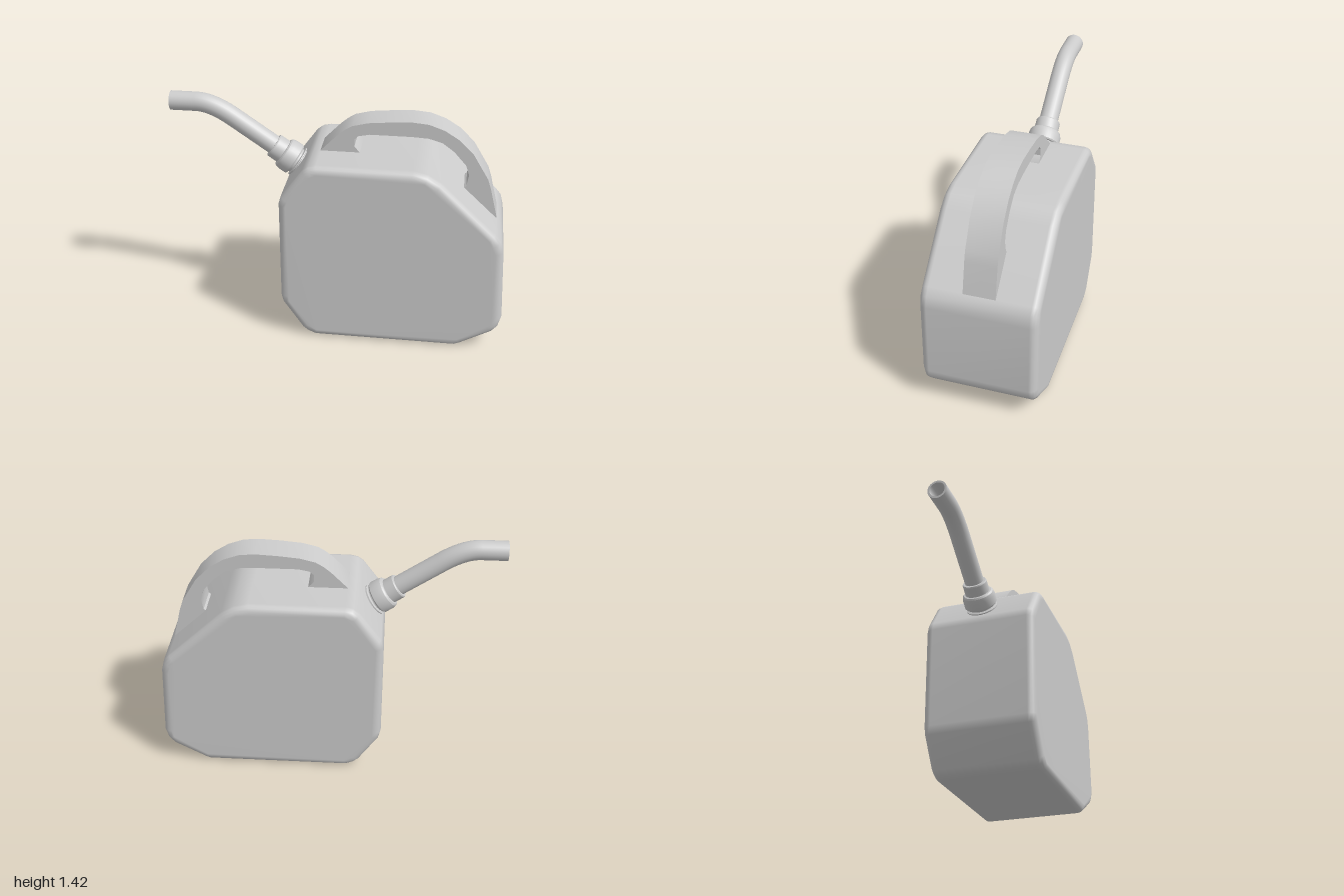
import * as THREE from 'three';
import { mergeVertices, toCreasedNormals } from 'three/addons/utils/BufferGeometryUtils.js';

const material = new THREE.MeshStandardMaterial({ color: 0xcccccc });
const openMaterial = new THREE.MeshStandardMaterial({ color: 0xcccccc, side: THREE.DoubleSide });

const toShape = (points) => new THREE.Shape(points.map(([x, y]) => new THREE.Vector2(x, y)));

function addMesh(parent, name, geometry, mat = material) {
  const mesh = new THREE.Mesh(geometry, mat);
  mesh.name = name;
  parent.add(mesh);
  return mesh;
}

// Can body: side outline extruded across the width with rounded rims
function bodyGeometry() {
  const outline = [
    [-0.11, 0], [0.73, 0], [0.76, 0.012], [0.945, 0.115], [0.98, 0.155], [0.998, 0.22],
    [0.977, 0.66], [0.96, 0.725], [0.925, 0.768], [0.605, 1.07], [0.53, 1.115], [0.445, 1.135],
    [-0.10, 1.135], [-0.145, 1.125], [-0.18, 1.10], [-0.305, 0.93], [-0.32, 0.88],
    [-0.32, 0.27], [-0.308, 0.22], [-0.19, 0.045], [-0.16, 0.02],
  ];
  const halfWidth = 0.335, rim = 0.045;
  const geometry = new THREE.ExtrudeGeometry(toShape(outline), {
    depth: 2 * (halfWidth - rim), bevelThickness: rim, bevelSize: rim, bevelOffset: -rim, bevelSegments: 4,
  });
  geometry.translate(0, 0, -(halfWidth - rim));
  // Weld so the rims shade smoothly into the flat sides
  geometry.deleteAttribute('normal');
  geometry.deleteAttribute('uv');
  const welded = mergeVertices(geometry, 1e-4);
  welded.computeVertexNormals();
  return welded;
}

// Handle: flat arch whose feet sink slightly into the body
function handleGeometry() {
  const outer = [
    [-0.12, 1.10], [-0.105, 1.135], [-0.007, 1.235], [0.035, 1.27], [0.08, 1.297], [0.17, 1.32],
    [0.30, 1.332], [0.425, 1.338], [0.515, 1.33], [0.605, 1.298], [0.69, 1.245], [0.775, 1.16],
    [0.865, 1.01], [0.885, 0.95], [0.93, 0.77], [0.90, 0.75],
  ];
  const inner = [
    [0.70, 0.93], [0.743, 0.96], [0.755, 1.03], [0.735, 1.09], [0.665, 1.17], [0.595, 1.222],
    [0.515, 1.245], [0.42, 1.25], [0.18, 1.25], [0.115, 1.237], [0.092, 1.215], [0.092, 1.17],
    [0.125, 1.135], [0.14, 1.10],
  ];
  const width = 0.184;
  const geometry = new THREE.ExtrudeGeometry(toShape([...outer, ...inner]), { depth: width, bevelEnabled: false });
  geometry.translate(0, 0, -width / 2);
  return toCreasedNormals(geometry, 0.6);
}

const lathe = (points) => toCreasedNormals(
  new THREE.LatheGeometry(points.map(([r, y]) => new THREE.Vector2(r, y)), 32), 0.5);

export function createModel() {
  const model = new THREE.Group();
  model.name = 'jerryCan';
  addMesh(model, 'body', bodyGeometry());
  addMesh(model, 'handle', handleGeometry());

  // Neck and fittings share an axis square to the sloping shoulder
  const axis = new THREE.Vector3(-0.82, 0.57, 0).normalize();
  const neck = new THREE.Group();
  neck.name = 'neck';
  neck.position.set(-0.245, 1.005, 0);
  neck.quaternion.setFromUnitVectors(new THREE.Vector3(0, 1, 0), axis);
  model.add(neck);

  addMesh(neck, 'neckPipe', lathe([[0.078, -0.05], [0.078, 0.05]]));
  // Screw threads
  for (const y of [-0.006, 0.014]) {
    addMesh(neck, 'thread', lathe([[0.078, y - 0.007], [0.094, y - 0.003], [0.094, y + 0.003], [0.078, y + 0.007]]));
  }
  addMesh(neck, 'screwCollar', lathe([
    [0.07, 0.032], [0.092, 0.032], [0.098, 0.04], [0.098, 0.085], [0.092, 0.108], [0.084, 0.116], [0.071, 0.118],
  ]));
  addMesh(neck, 'spoutSleeve', lathe([[0.073, 0.11], [0.073, 0.178], [0.069, 0.185], [0.05, 0.185]]));

  // Hollow spout: straight, bent, then level
  const at = (x, y) => new THREE.Vector3(x, y, 0);
  const path = new THREE.CurvePath();
  path.add(new THREE.LineCurve3(at(-0.34, 1.074), at(-0.63, 1.275)));
  path.add(new THREE.QuadraticBezierCurve3(at(-0.63, 1.275), at(-0.755, 1.362), at(-0.85, 1.362)));
  path.add(new THREE.LineCurve3(at(-0.85, 1.362), at(-1, 1.362)));
  const outerR = 0.057, innerR = 0.045;
  addMesh(model, 'spout', new THREE.TubeGeometry(path, 40, outerR, 24));
  addMesh(model, 'spoutBore', new THREE.TubeGeometry(path, 40, innerR, 24), openMaterial);
  const lip = addMesh(model, 'spoutLip', new THREE.RingGeometry(innerR, outerR, 24), openMaterial);
  lip.position.set(-1, 1.362, 0);
  lip.rotation.y = -Math.PI / 2;

  return model;
}
